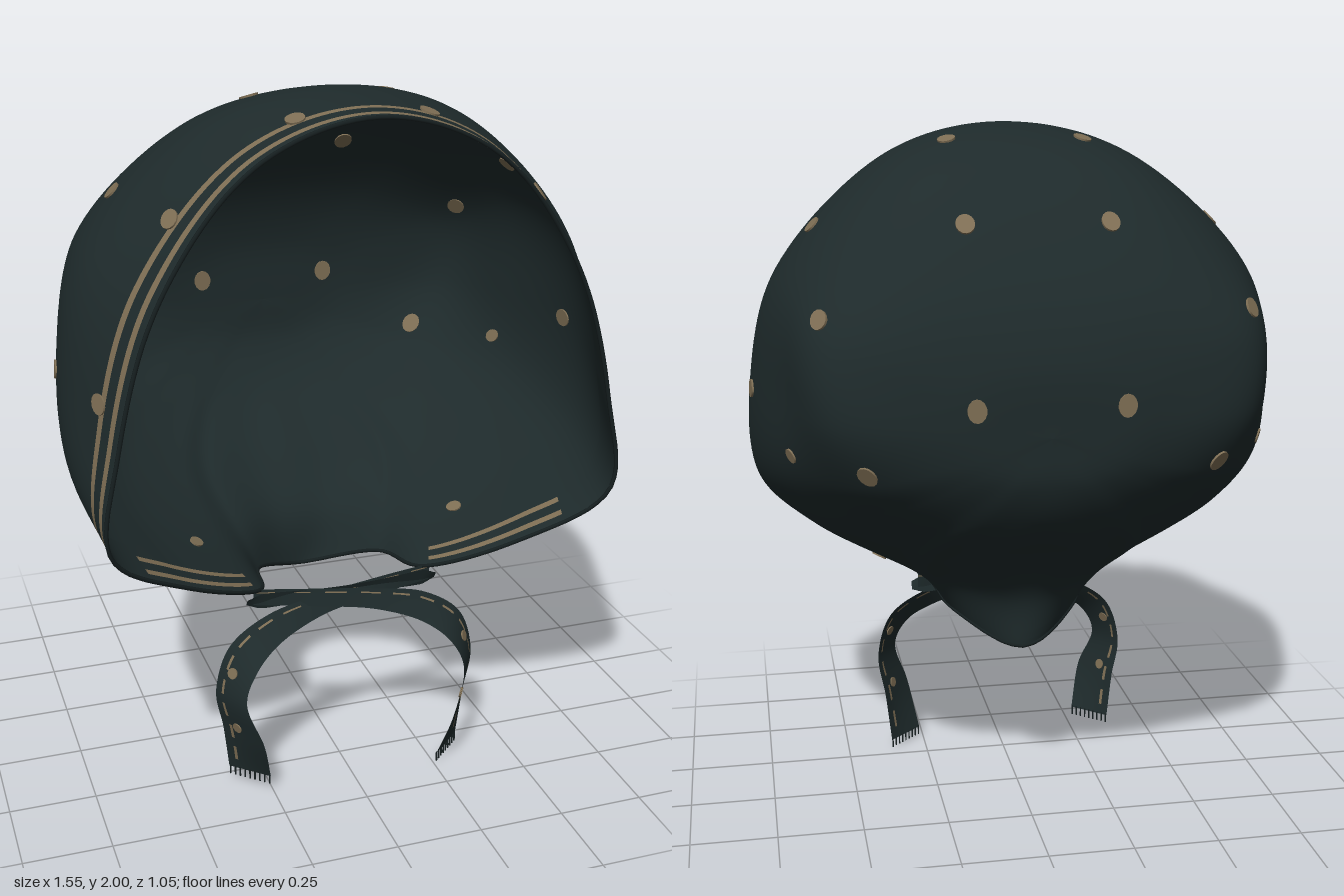
import * as THREE from 'three';

const makeColour = (name, color) => {
  const m = new THREE.MeshStandardMaterial({ color, side: THREE.DoubleSide });
  m.name = name;
  return m;
};
const cloth = makeColour('dark cloth', 0x1e2a2b);
const trim = makeColour('tan print', 0x7e6e54);
const hem = makeColour('dark hem', 0x161f20);

const V = (p) => new THREE.Vector3(...p);
const range = (n, a = 0, b = 1) => Array.from({ length: n + 1 }, (_, i) => a + (b - a) * i / n);

// Fabric sheet: rows of points, each cell either cloth or printed trim
function sheet(rows, isTrim, wrap = false) {
  const n = rows[0].length, plain = [], printed = [];
  for (let j = 0; j < rows.length - 1; j++) {
    for (let i = 0; i < (wrap ? n : n - 1); i++) {
      const a = j * n + i, b = j * n + (i + 1) % n;
      (isTrim(i, j) ? printed : plain).push(a, b, a + n, b, b + n, a + n);
    }
  }
  const g = new THREE.BufferGeometry().setFromPoints(rows.flat());
  g.setIndex([...plain, ...printed]);
  g.addGroup(0, plain.length, 0);
  g.addGroup(plain.length, printed.length, 1);
  g.computeVertexNormals();
  return g;
}

// Lines from the open edge to the centre of the back, crown round to nape:
// edge, fullest part, rear flank and back corner, then flattening into the pole
const POLE = V([0, 1.22, -.525]);
const LINES = [
  [[0, 1.975, .52], [0, 2, .15], [0, 1.9, -.17], [0, 1.62, -.43]],
  [[.32, 1.87, .52], [.35, 1.92, .15], [.345, 1.84, -.17], [.33, 1.59, -.425]],
  [[.57, 1.55, .52], [.68, 1.6, .15], [.65, 1.57, -.17], [.56, 1.46, -.42]],
  [[.69, 1.15, .52], [.765, 1.3, .14], [.69, 1.28, -.19], [.57, 1.25, -.44]],
  [[.715, .88, .51], [.75, .98, .17], [.67, 1.06, -.16], [.49, 1.08, -.41]],
  [[.5, .72, .42], [.6, .84, .11], [.56, .92, -.14], [.4, 1, -.38]],
  [[.25, .6, .27], [.33, .7, .06], [.37, .83, -.17], [.28, .96, -.39]],
  [[.19, .56, .05], [.22, .67, -.04], [.25, .79, -.2], [.18, .94, -.41]],
  [[0, .48, -.1], [0, .64, -.125], [0, .78, -.24], [0, .95, -.44]],
].map((l) => {
  const pts = l.map(V), flat = pts[3].clone().lerp(POLE, .5);
  flat.z = POLE.z + .12 * (pts[3].z - POLE.z);
  return new THREE.CatmullRomCurve3([...pts, flat, POLE]);
});

// Closed ring around the bonnet at depth v (0 = open edge, 1 = back centre)
function ring(v, count) {
  const pts = LINES.map((c) => c.getPoint(v));
  for (let i = 7; i > 0; i--) pts.push(pts[i].clone().setX(-pts[i].x));
  const curve = new THREE.CatmullRomCurve3(pts, true);
  return range(count).slice(0, -1).map((t) => {
    const p = curve.getPoint(t);
    // Soft gathers fanning out from the nape
    const low = 1 - THREE.MathUtils.smoothstep(Math.abs(t - .5), .06, .2);
    const fold = low * Math.sin(Math.PI * Math.min(1, v * 1.6)) * .008 * Math.cos((t - .5) * 110);
    return p.set(p.x * (1 + fold), p.y, p.z + fold);
  });
}

// Ribbon strips, with room for a printed line near the outer edge;
// path entries are [centre, half width]
function ribbonRows(path, side, steps) {
  const [mid, wid] = [0, 1].map((k) => new THREE.CatmullRomCurve3(path.map((p) => V(p[k]))));
  return range(steps).map((t) => [-1, -.4, .2, .5, .64, 1].map((s) => {
    const p = mid.getPoint(t).addScaledVector(wid.getPoint(t), s);
    return p.setX(p.x * side);
  }));
}

export function createModel() {
  const model = new THREE.Group();
  model.name = 'tiedBonnet';
  const add = (parent, name, geometry, material) => {
    const m = new THREE.Mesh(geometry, material);
    m.name = name;
    parent.add(m);
    return m;
  };
  const addGroup = (name) => {
    const g = new THREE.Group();
    g.name = name;
    model.add(g);
    return g;
  };

  // Bonnet shell with two printed stripes along the face opening
  const N = 224;
  const depths = [0, .018, .029, .048, .059, ...range(42, .08, .995), 1];
  const rings = depths.map((v) => ring(v, N));
  const shell = sheet(rings, (i, j) => {
    const t = (i + .5) / N;
    return (j === 1 || j === 3) && Math.min(t, 1 - t) < 5.9 / 16;
  }, true);
  add(model, 'bonnetShell', shell, [cloth, trim]);

  // Plain facing behind the stripes, inside the face opening
  const facing = rings.slice(0, 6).map((r) => [...r.slice(-64), ...r.slice(0, 65)].map(
    (p) => V([p.x * .993, 1.2 + (p.y - 1.2) * .993, p.z])));
  add(model, 'innerFacing', sheet(facing, () => false), [cloth, trim]);

  // Rolled hem round the opening
  const edge = new THREE.CatmullRomCurve3(ring(0, 64), true);
  add(model, 'edgeHem', new THREE.TubeGeometry(edge, 160, .006, 6, true), hem);

  // Printed dots, laid flat on the shell and showing on both sides
  const dots = addGroup('printedDots');
  const disc = new THREE.CylinderGeometry(.029, .029, .009, 14);
  const up = new THREE.Vector3(0, 1, 0);
  const P = shell.attributes.position, Q = shell.attributes.normal;
  const places = [
    [.2, 1.98, .03], [.59, 1.74, .03], [.2, 1.78, -.34], [.6, 1.53, -.36], [.18, 1.96, .4], [.52, 1.74, .4],
    [.75, 1.26, .08], [.73, 1.27, .41], [.2, 1.3, -.52], [.47, 1.13, -.42], [.69, 1.12, -.22], [.42, .68, .13],
  ];
  places.forEach(([x, y, z], index) => [1, -1].forEach((side) => {
    const target = V([x * side, y, z]), p = new THREE.Vector3();
    let best = 0, nearest = Infinity;
    for (let i = 0; i < P.count; i++) {
      const d = p.fromBufferAttribute(P, i).distanceToSquared(target);
      if (d < nearest) { nearest = d; best = i; }
    }
    const n = new THREE.Vector3().fromBufferAttribute(Q, best);
    p.fromBufferAttribute(P, best);
    const dot = add(dots, 'dot', disc, trim);
    dot.position.copy(target).addScaledVector(n, n.dot(p.sub(target)));
    dot.quaternion.setFromUnitVectors(up, n);
    const size = index < 10 ? 1 : .75;
    dot.scale.set(.9 * size, 1, 1.1 * size);
  }));

  // Neck band joining both chin corners under the crossing ties
  const band = range(12, -1, 1).map((s) => [
    [.29 * s, .573 - .008 * s * s, .295 - .025 * s * s],
    [0, (.018 + .016 * s * s) * Math.sqrt(1.1 - s ** 8), .008],
  ]);
  add(model, 'neckBand', sheet(ribbonRows(band, 1, 48), () => false), [cloth, trim]);

  // Two crossing ties with hanging, fringed tails
  for (const [side, name, lift] of [[1, 'leftTie', 0], [-1, 'rightTie', .03]]) {
    const tie = addGroup(name);
    const z = side * .006;
    const path = [
      [[-.27, .58, .27], [0, .025, 0]],
      [[-.1, .57, .3 + z], [.005, .025, -.005]],
      [[.08, .545, .315 + z], [.01, .026, -.01]],
      [[.23, .5, .33], [.015, .033, -.025]],
      [[.325, .43, .35], [.03, .025, -.04]],
      [[.365, .32, .36], [.032, .005, -.05]],
      [[.335, .18 + lift / 2, .372], [.042, 0, -.066]],
      [[.31, .025 + lift, .345], [.05, 0, -.046]],
    ];
    const rows = ribbonRows(path, side, 60);
    add(tie, 'ribbon', sheet(rows, (i, j) => i === 3 && j % 5 < 3), [cloth, trim]);

    // Printed dots on the tail
    for (const j of [38, 50]) {
      const a = rows[j][2];
      const across = rows[j][1].clone().sub(a), along = rows[j + 1][2].clone().sub(a);
      const dot = add(tie, 'tailDot', disc, trim);
      dot.position.copy(a);
      dot.quaternion.setFromUnitVectors(up, across.cross(along).normalize());
      dot.scale.set(.55, .8, .55);
    }

    // Fringe threads
    const thread = new THREE.BoxGeometry(.004, .03, .004);
    for (const t of range(8, .03, .97)) {
      const strand = add(tie, 'fringeThread', thread, hem);
      strand.position.lerpVectors(rows[60][0], rows[60][5], t);
      strand.position.y -= .01;
    }
  }
  return model;
}
